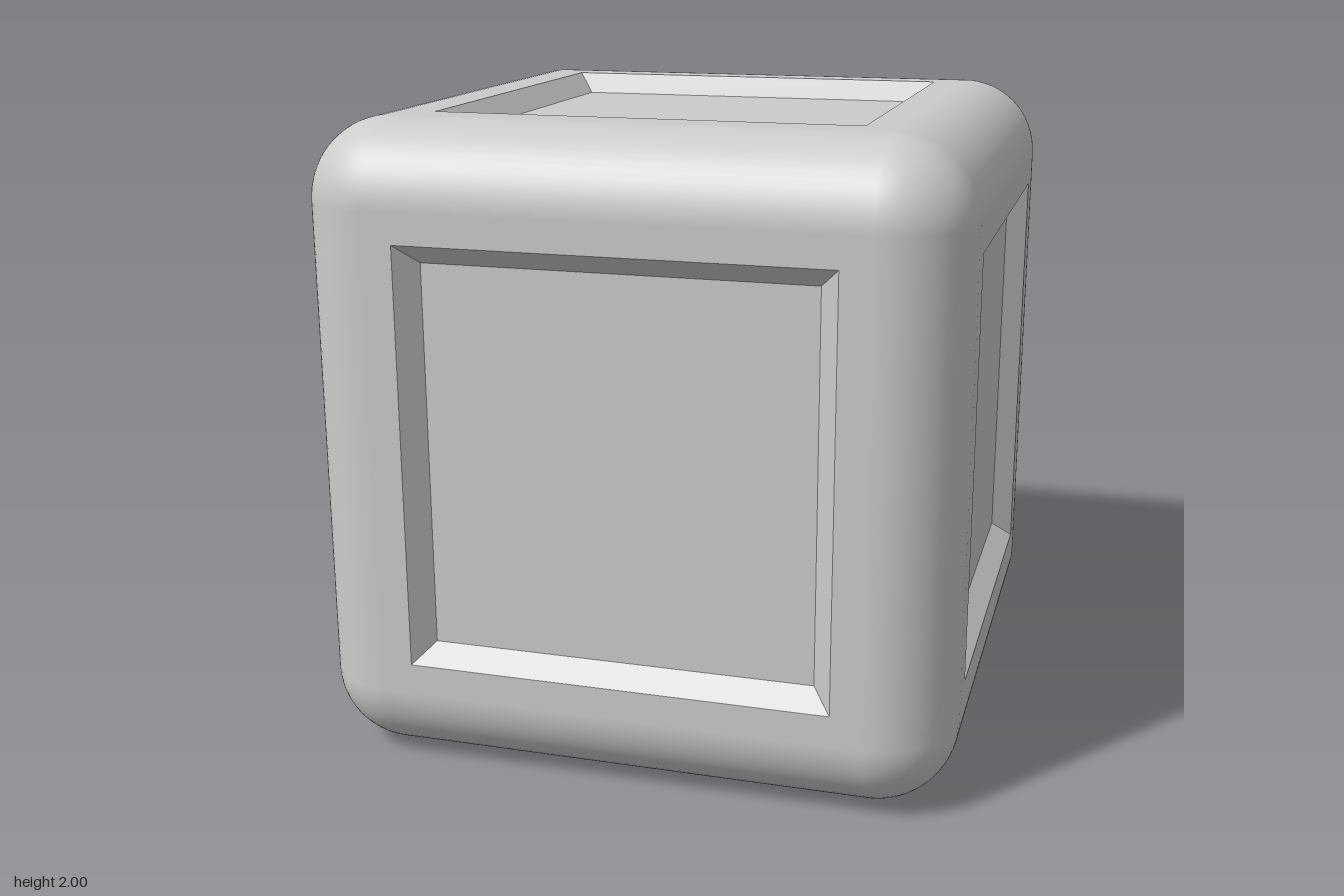
import * as THREE from 'three';
import { toCreasedNormals } from 'three/addons/utils/BufferGeometryUtils.js';

const R = 0.25;            // edge rounding
const H = 1 - R;           // half width of the flat faces
const OUT = 0.655, IN = 0.595, DEPTH = 0.065; // recess rim, floor, depth
const SEG = 64;            // sides of the threaded hole
const Q = Math.PI / 2;
const mat = new THREE.MeshStandardMaterial({ color: 0xcccccc });

function add(parent, name, geometry) {
  const mesh = new THREE.Mesh(geometry, mat);
  mesh.name = name;
  parent.add(mesh);
  return mesh;
}

const square = (Type, h) => new Type().moveTo(-h, -h).lineTo(h, -h).lineTo(h, h).lineTo(-h, h).closePath();

// Turn an outward surface into an inward one, keeping sharp edges
function inward(geo, crease) {
  geo.scale(-1, 1, 1);
  return toCreasedNormals(geo, crease);
}

// Flat face with a sunken square panel, facing +z
function recessedFace(name) {
  const face = new THREE.Group();
  face.name = name;
  const shape = square(THREE.Shape, H);
  shape.holes.push(square(THREE.Path, OUT));
  add(face, 'faceFrame', new THREE.ShapeGeometry(shape).translate(0, 0, 1));
  const walls = new THREE.CylinderGeometry(OUT * Math.SQRT2, IN * Math.SQRT2, DEPTH, 4, 1, true);
  walls.rotateY(Math.PI / 4).rotateX(Q).translate(0, 0, 1 - DEPTH / 2);
  add(face, 'recessWalls', inward(walls, 0.3));
  add(face, 'recessFloor', new THREE.PlaneGeometry(2 * IN, 2 * IN).translate(0, 0, 1 - DEPTH));
  return face;
}

// Blind threaded hole rising from the underside
function threadedHole() {
  const hole = new THREE.Group();
  hole.name = 'threadedHole';
  const rim = 0.228, mid = 0.2, lead = 0.03, depth = 0.6, pitch = 0.09;
  const profile = [0.185, 0.185, 0.218, 0.218], steps = [0, 0.2, 0.5, 0.7];
  const rows = 4 * (Math.ceil(depth / pitch) + 2);

  const chamfer = new THREE.CylinderGeometry(mid, rim, lead, SEG, 1, true).translate(0, lead / 2, 0);
  add(hole, 'holeChamfer', inward(chamfer, 0.5));

  // Helical thread: ring rows climb one pitch per turn and are clamped at both ends
  const thread = new THREE.CylinderGeometry(1, 1, 1, SEG, rows, true);
  const pos = thread.attributes.position;
  for (let i = 0; i < pos.count; i++) {
    const turn = (i % (SEG + 1)) / SEG;
    const row = rows - Math.floor(i / (SEG + 1));
    const y = (Math.floor(row / 4) + steps[row % 4] + turn - 1) * pitch;
    const cy = THREE.MathUtils.clamp(y, lead, depth);
    const r = cy === y ? profile[row % 4] : mid;
    pos.setXYZ(i, r * Math.sin(turn * 4 * Q), cy, r * Math.cos(turn * 4 * Q));
  }
  add(hole, 'thread', inward(thread, 0.5));
  add(hole, 'holeEnd', new THREE.CircleGeometry(mid, SEG).rotateX(Q).translate(0, depth, 0));
  hole.position.y = -1;
  return hole;
}

export function createModel() {
  const model = new THREE.Group();
  model.name = 'roundedCube';
  const body = new THREE.Group();
  body.name = 'body';
  body.position.y = 1;
  model.add(body);

  // Four sides and the top carry recessed panels
  ['frontFace', 'leftFace', 'backFace', 'rightFace'].forEach((name, k) => {
    const face = recessedFace(name);
    face.rotation.y = k * Q;
    body.add(face);
  });
  const top = recessedFace('topFace');
  top.rotation.x = -Q;
  body.add(top);

  // Plain underside with a round hole
  const under = square(THREE.Shape, H);
  under.holes.push(new THREE.Path().absarc(0, 0, 0.228, 0, 4 * Q, true));
  add(body, 'bottomFace', new THREE.ShapeGeometry(under, SEG).translate(0, 0, 1).rotateX(Q));
  body.add(threadedHole());

  // Rounded edges along the three axes, and rounded corners
  const edge = new THREE.CylinderGeometry(R, R, 2 * H, 16, 1, true, 0, Q).translate(H, 0, H);
  const corner = new THREE.SphereGeometry(R, 16, 16, Q, Q, 0, Q).translate(H, H, H);
  for (let k = 0; k < 4; k++) {
    add(body, 'verticalEdge', edge).rotation.set(0, k * Q, 0);
    add(body, 'depthEdge', edge).rotation.set(Q, k * Q, 0);
    add(body, 'widthEdge', edge).rotation.set(0, k * Q, Q, 'ZYX');
    add(body, 'topCorner', corner).rotation.set(0, k * Q, 0);
    add(body, 'bottomCorner', corner).rotation.set(2 * Q, k * Q, 0);
  }
  return model;
}
